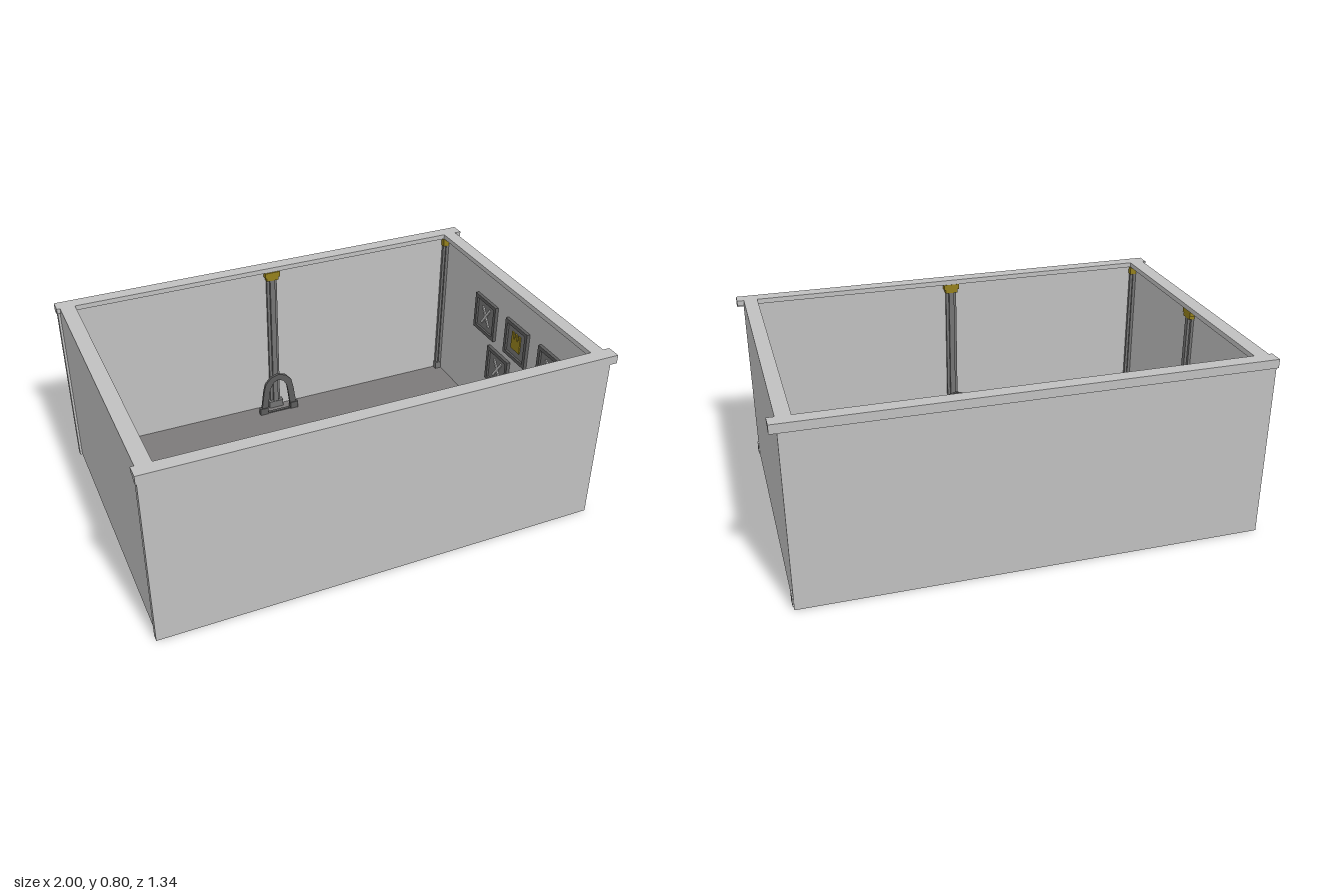
import * as THREE from 'three';

const mat = (name, color) => {
  const m = new THREE.MeshStandardMaterial({ color });
  m.name = name;
  return m;
};

export function createModel() {
  const room = new THREE.Group();
  room.name = 'openRoom';
  const wallGrey = mat('wall grey', 0xc0c0c0);
  const floorGrey = mat('floor grey', 0x7c7a7a);
  const columnGrey = mat('column grey', 0x747474);
  const darkGrey = mat('dark grey', 0x5c5c5c);
  const gold = mat('gold', 0x94801c);

  // Box given by its minimum and maximum on each axis
  const box = (name, material, [x0, x1], [y0, y1], [z0, z1], parent = room) => {
    const mesh = new THREE.Mesh(new THREE.BoxGeometry(x1 - x0, y1 - y0, z1 - z0), material);
    mesh.position.set((x0 + x1) / 2, (y0 + y1) / 2, (z0 + z1) / 2);
    mesh.name = name;
    parent.add(mesh);
    return mesh;
  };

  // Floor, slightly recessed between the wall feet
  box('floor', floorGrey, [-0.955, 0.94], [0.008, 0.025], [-0.634, 0.64]);

  // Four walls
  box('frontWall', wallGrey, [-0.995, 0.97], [0, 0.778], [0.64, 0.67]);
  box('backWall', wallGrey, [-0.995, 0.97], [0, 0.778], [-0.663, -0.634]);
  box('rightWall', wallGrey, [-0.985, -0.955], [0, 0.778], [-0.634, 0.64]);
  box('leftWall', wallGrey, [0.94, 0.97], [0, 0.778], [-0.634, 0.64]);

  // Top rails: flat lip over the wall, with a leg at the outer edge of the long ones
  for (const s of [-1, 1]) {
    const span = (a, b) => (s > 0 ? [a, b] : [-b, -a]);
    box('longRailLip', wallGrey, [-1, 1], [0.778, 0.8], span(0.612, 0.672));
    box('longRailLeg', wallGrey, [-1, 1], [0.762, 0.778], span(0.642, 0.672));
  }
  box('rightRailLip', wallGrey, [-0.985, -0.92], [0.778, 0.8], [-0.612, 0.612]);
  box('leftRailLip', wallGrey, [0.91, 0.97], [0.778, 0.8], [-0.612, 0.612]);

  // Column with a raised rib, a gold capital and a foot; local +z faces into the room
  const column = (name, x, z, turn) => {
    const g = new THREE.Group();
    g.name = name;
    box('shaft', columnGrey, [-0.025, 0.025], [0.025, 0.74], [0, 0.012], g);
    box('rib', columnGrey, [-0.012, 0.012], [0.025, 0.74], [0.012, 0.024], g);
    box('capital', gold, [-0.036, 0.036], [0.752, 0.777], [0, 0.027], g);
    box('capitalNeck', gold, [-0.029, 0.029], [0.735, 0.752], [0, 0.025], g);
    box('foot', columnGrey, [-0.036, 0.036], [0.025, 0.06], [0, 0.027], g);
    g.position.set(x, 0, z);
    g.rotation.y = turn;
    room.add(g);
  };
  column('backColumn', 0, -0.634, 0);
  column('frontColumn', 0, 0.64, Math.PI);
  column('rightColumn', -0.955, 0, Math.PI / 2);

  // Corner posts, stepped toward the room
  for (const [cx, sx] of [[-0.955, 1], [0.94, -1]]) {
    for (const [cz, sz] of [[-0.634, 1], [0.64, -1]]) {
      const block = (name, material, wx, wz, y) =>
        box(name, material, [cx, cx + sx * wx].sort((a, b) => a - b), y,
          [cz, cz + sz * wz].sort((a, b) => a - b));
      block('cornerPostWide', columnGrey, 0.026, 0.014, [0.025, 0.74]);
      block('cornerPostDeep', columnGrey, 0.014, 0.022, [0.025, 0.74]);
      block('cornerCapital', gold, 0.03, 0.024, [0.737, 0.777]);
      block('cornerFoot', columnGrey, 0.03, 0.024, [0.025, 0.06]);
    }
  }

  // Faceted arch standing in front of each mid column
  const arch = (name, x, z, turn) => {
    const g = new THREE.Group();
    g.name = name;
    const outline = (w, h) => {
      const pts = [[-w, 0.025], [w, 0.025]];
      for (let i = 0; i <= 6; i++) {
        const a = (i / 6) * Math.PI;
        pts.push([w * 0.82 * Math.cos(a), h - 0.09 + 0.09 * Math.sin(a)]);
      }
      return pts.map(([px, py]) => new THREE.Vector2(px, py));
    };
    const shape = new THREE.Shape(outline(0.095, 0.24));
    shape.holes.push(new THREE.Path(outline(0.062, 0.21).map((p) => (p.y <= 0.025 ? p.setY(0.03) : p))));
    const ring = new THREE.Mesh(new THREE.ExtrudeGeometry(shape, { depth: 0.014, bevelEnabled: false }), darkGrey);
    ring.position.z = -0.007;
    ring.name = 'archRing';
    g.add(ring);
    for (const s of [-1, 1]) {
      box('archFoot', darkGrey, [s * 0.08 - 0.02, s * 0.08 + 0.02], [0.025, 0.06], [-0.011, 0.011], g);
    }
    g.position.set(x, 0, z);
    g.rotation.y = turn;
    room.add(g);
  };
  arch('backArch', 0, -0.575, 0);
  arch('frontArch', 0, 0.555, Math.PI);
  arch('rightArch', -0.885, 0, Math.PI / 2);

  // Framed panels on the inside of the left wall, with bar or gold motifs
  const square = (r) => [[-r, -r], [r, -r], [r, r], [-r, r]].map(([a, b]) => new THREE.Vector2(a, b));
  const picture = (z, y, golden) => {
    const g = new THREE.Group();
    g.name = 'framedPanel';
    const rim = new THREE.Shape(square(0.09));
    rim.holes.push(new THREE.Path(square(0.072)));
    const frame = new THREE.Mesh(new THREE.ExtrudeGeometry(rim, { depth: 0.016, bevelEnabled: false }), darkGrey);
    frame.name = 'frame';
    g.add(frame);
    box('panel', columnGrey, [-0.072, 0.072], [-0.072, 0.072], [0, 0.006], g);
    if (golden) {
      box('goldBody', gold, [-0.035, 0.035], [-0.04, 0.015], [0.006, 0.012], g);
      for (const x of [-0.026, 0, 0.026]) {
        box('goldPoint', gold, [x - 0.008, x + 0.008], [0.015, 0.045], [0.006, 0.012], g);
      }
    } else {
      for (const s of [-1, 1]) {
        const bar = box('crossBar', wallGrey, [-0.006, 0.006], [-0.055, 0.055], [0.006, 0.012], g);
        bar.rotation.z = s * 0.6;
      }
    }
    g.position.set(0.94, y, z);
    g.rotation.y = -Math.PI / 2;
    room.add(g);
  };
  [[0.33, 0.54, false], [0.06, 0.54, true], [-0.21, 0.54, false], [0.2, 0.32, true], [-0.07, 0.32, false]]
    .forEach((p) => picture(...p));

  // Small square sockets at the outer foot of the left wall
  for (const s of [-1, 1]) {
    const z = s * 0.637;
    box('socket', wallGrey, [0.968, 0.975], [0.014, 0.06], [z - 0.02, z + 0.02]);
    box('socketFace', darkGrey, [0.97, 0.976], [0.026, 0.048], [z - 0.01, z + 0.01]);
  }

  return room;
}
